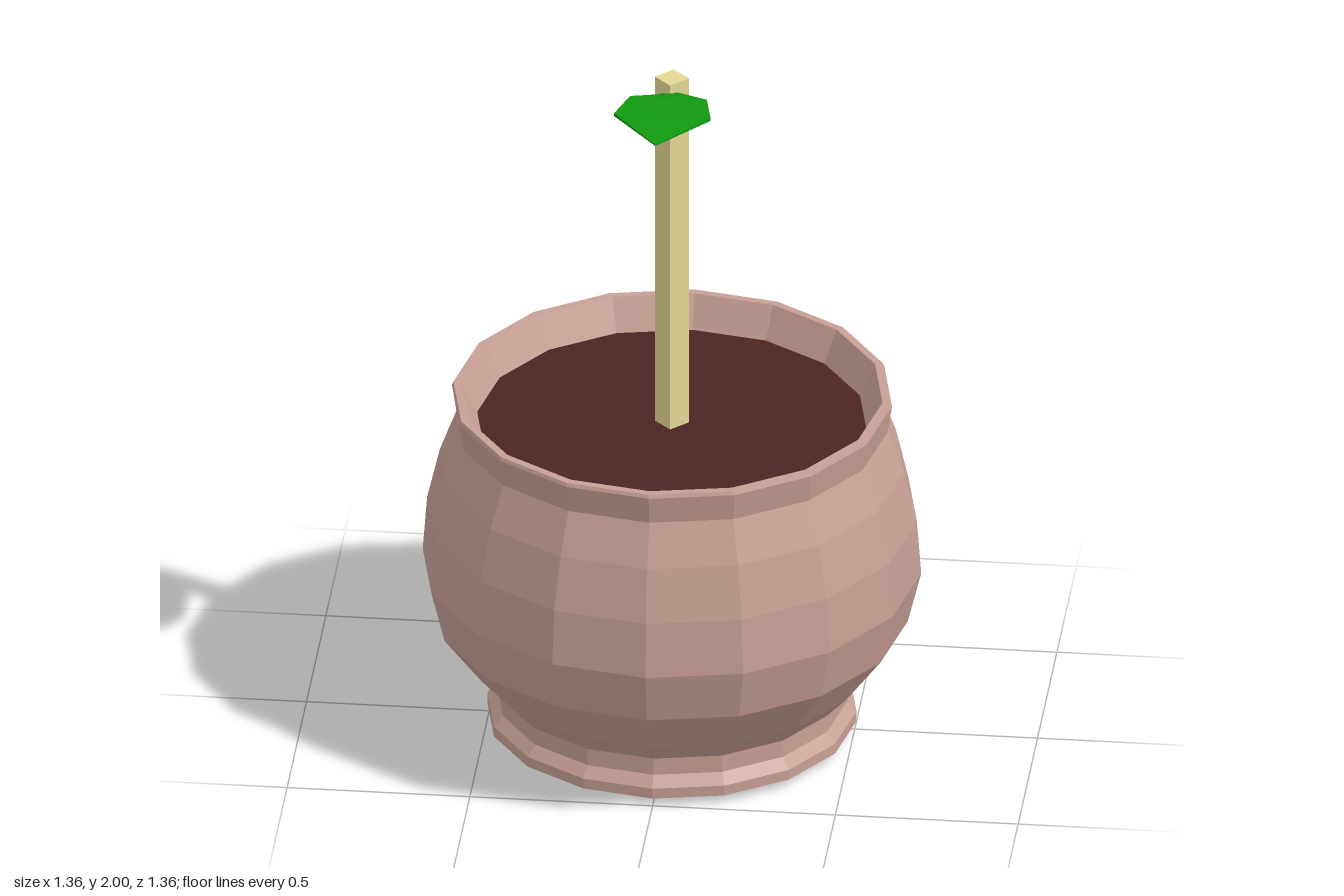
import * as THREE from 'three';

const SIDES = 16;

function material(name, color, side = THREE.FrontSide) {
  const m = new THREE.MeshStandardMaterial({ color, side, flatShading: true });
  m.name = name;
  return m;
}

function part(name, geometry, mat) {
  const mesh = new THREE.Mesh(geometry, mat);
  mesh.name = name;
  return mesh;
}

// Thin leaf: rows of left, middle and right points, on a top and a bottom layer
function leafGeometry() {
  // half width, edge z, middle z, edge y, middle y
  const rows = [
    [0.035, 0.03, 0.015, 1.942, 1.947],
    [0.105, 0.09, 0.1, 1.965, 1.968],
    [0.132, 0.25, 0.28, 1.995, 1.997],
    [0, 0.43, 0.43, 2.0, 2.0],
  ];
  const thickness = 0.009;
  const positions = [];
  for (const drop of [0, thickness]) {
    for (const [w, ez, mz, ey, my] of rows) {
      const d = w === 0 ? drop * 0.4 : drop;
      positions.push(-w, ey - d, ez, 0, my - d, mz, w, ey - d, ez);
    }
  }
  const index = [];
  const quad = (a, b, c, d) => index.push(a, b, c, a, c, d);
  const layer = rows.length * 3;
  for (let r = 0; r < rows.length - 1; r++) {
    const i = r * 3, j = i + 3;
    for (let k = 0; k < 2; k++) {
      quad(i + k, j + k, j + k + 1, i + k + 1);
      quad(layer + i + k, layer + i + k + 1, layer + j + k + 1, layer + j + k);
    }
    // side edges
    quad(i, layer + i, layer + j, j);
    quad(i + 2, j + 2, layer + j + 2, layer + i + 2);
  }
  // base edge
  for (let k = 0; k < 2; k++) quad(k, k + 1, layer + k + 1, layer + k);
  const g = new THREE.BufferGeometry();
  g.setAttribute('position', new THREE.Float32BufferAttribute(positions, 3));
  g.setIndex(index);
  g.computeVertexNormals();
  return g;
}

export function createModel() {
  const group = new THREE.Group();
  group.name = 'pottedSprout';

  const clay = material('clay', 0xc8a095);
  const earth = material('earth', 0x4e2424);
  const wood = material('paleStem', 0xe4d894);
  const green = material('leafGreen', 0x119a11, THREE.DoubleSide);

  // Pot: foot, belly, neck, rim and inner wall in one faceted lathe
  const profile = [
    [0, 0], [0.4, 0.012], [0.505, 0.025], [0.505, 0.055], [0.48, 0.085],
    [0.48, 0.135], [0.54, 0.2], [0.645, 0.34], [0.682, 0.49], [0.67, 0.65],
    [0.635, 0.8], [0.59, 0.92], [0.602, 1.0], [0.598, 1.01],
    [0.576, 1.01], [0.526, 0.905],
  ].map(([r, y]) => new THREE.Vector2(r, y));
  group.add(part('pot', new THREE.LatheGeometry(profile, SIDES), clay));

  // Soil disc just below the rim
  const soil = part('soil', new THREE.CircleGeometry(0.533, SIDES), earth);
  soil.rotation.x = -Math.PI / 2;
  soil.position.y = 0.92;
  group.add(soil);

  // Square stem standing corner-on
  const bottom = 0.88, top = 1.98;
  const stem = part('stem', new THREE.CylinderGeometry(0.047, 0.047, top - bottom, 4), wood);
  stem.position.y = (top + bottom) / 2;
  group.add(stem);

  group.add(part('leaf', leafGeometry(), green));
  return group;
}
